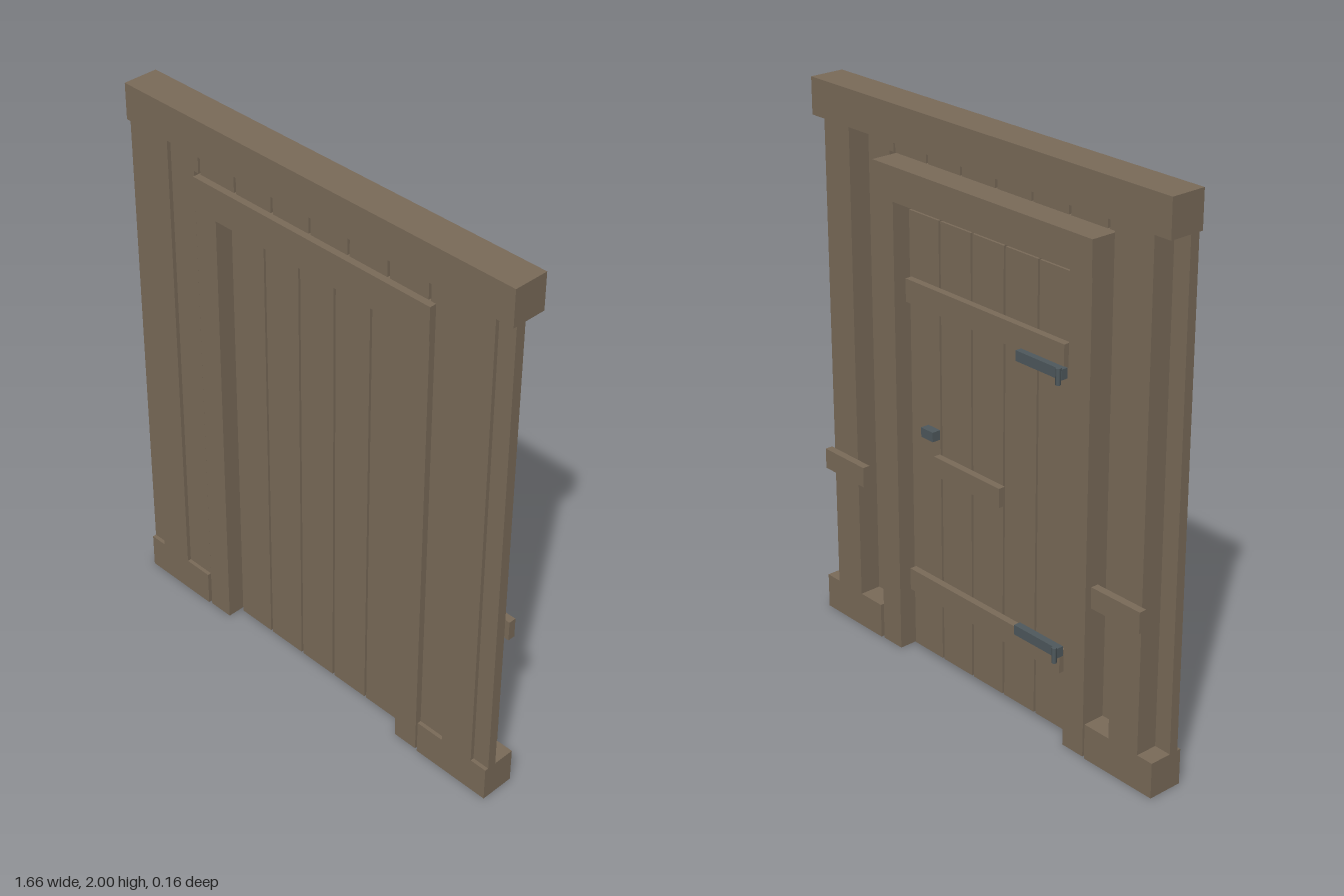
import * as THREE from 'three';

export function createModel() {
  const model = new THREE.Group();
  model.name = 'doorInTimberWall';

  const wood = new THREE.MeshStandardMaterial({ color: 0x7a6b59 });
  wood.name = 'wood';
  const iron = new THREE.MeshStandardMaterial({ color: 0x4f595d });
  iron.name = 'iron';

  // Box given by its limits on each axis
  function box(name, [x0, x1], [y0, y1], [z0, z1], material = wood) {
    const mesh = new THREE.Mesh(new THREE.BoxGeometry(x1 - x0, y1 - y0, z1 - z0), material);
    mesh.position.set((x0 + x1) / 2, (y0 + y1) / 2, (z0 + z1) / 2);
    mesh.name = name;
    model.add(mesh);
  }

  const BACK = -0.051, FRONT = 0.078;
  const frameZ = [BACK, FRONT];
  const wallZ = [0.03, 0.064];

  // Heavy outer frame: top beam, then post and foot on each side as one profile
  box('topBeam', [-0.83, 0.83], [1.87, 2], frameZ);
  for (const s of [-1, 1]) {
    const span = (a, b) => (s > 0 ? [a, b] : [-b, -a]);
    box('post', span(0.635, 0.765), [0.13, 1.87], frameZ);
    box('foot', span(0.525, 0.83), [0, 0.13], frameZ);
    box('postCrossBatten', span(0.57, 0.783), [0.59, 0.665], [-0.079, BACK]);

    // Wall planks beside the door, the inner one notched around the door frame
    box('outerWallPlank', span(0.672, 0.83), [0.13, 1.87], wallZ);
    const notched = new THREE.Shape([
      [0.525, 0.13], [0.662, 0.13], [0.662, 1.87], [0.505, 1.87], [0.505, 1.8], [0.525, 1.8],
    ].map(([x, y]) => new THREE.Vector2(s * x, y)));
    const geometry = new THREE.ExtrudeGeometry(notched, { depth: wallZ[1] - wallZ[0], bevelEnabled: false });
    const plank = new THREE.Mesh(geometry, wood);
    plank.position.z = wallZ[0];
    plank.name = 'innerWallPlank';
    model.add(plank);

    // Door frame upright
    box('doorJamb', span(0.418, 0.513), [0, 1.67], [BACK + 0.004, FRONT - 0.004]);
  }

  // Short planks above the door
  for (let i = 0; i < 6; i++) {
    const x = -0.5 + i / 6;
    box('upperWallPlank', [x + 0.005, x + 1 / 6 - 0.005], [1.8, 1.87], wallZ);
  }
  box('doorLintel', [-0.515, 0.515], [1.67, 1.79], frameZ);

  // Door leaf of five boards
  const doorZ = [-0.004, 0.034];
  for (let i = 0; i < 5; i++) {
    const x = (i - 2) * 0.157;
    box('doorBoard', [x - 0.074, x + 0.074], [0.02, 1.64], doorZ);
  }

  // Battens across the back of the door
  const battenZ = [-0.03, doorZ[0]];
  box('upperDoorBatten', [-0.38, 0.38], [1.328, 1.41], battenZ);
  box('middleDoorBatten', [-0.083, 0.245], [0.74, 0.81], battenZ);
  box('lowerDoorBatten', [-0.38, 0.38], [0.248, 0.33], battenZ);

  // Iron hinges and latch
  for (const y of [1.319, 0.337]) {
    box('hingeStrap', [-0.393, -0.185], [y - 0.018, y + 0.018], [-0.053, -0.027], iron);
    const pin = new THREE.Mesh(new THREE.CylinderGeometry(0.009, 0.009, 0.056, 8), iron);
    pin.position.set(-0.393, y, -0.066);
    pin.name = 'hingePin';
    model.add(pin);
  }
  box('latch', [0.243, 0.303], [0.865, 0.9], [-0.036, doorZ[0]], iron);

  return model;
}
